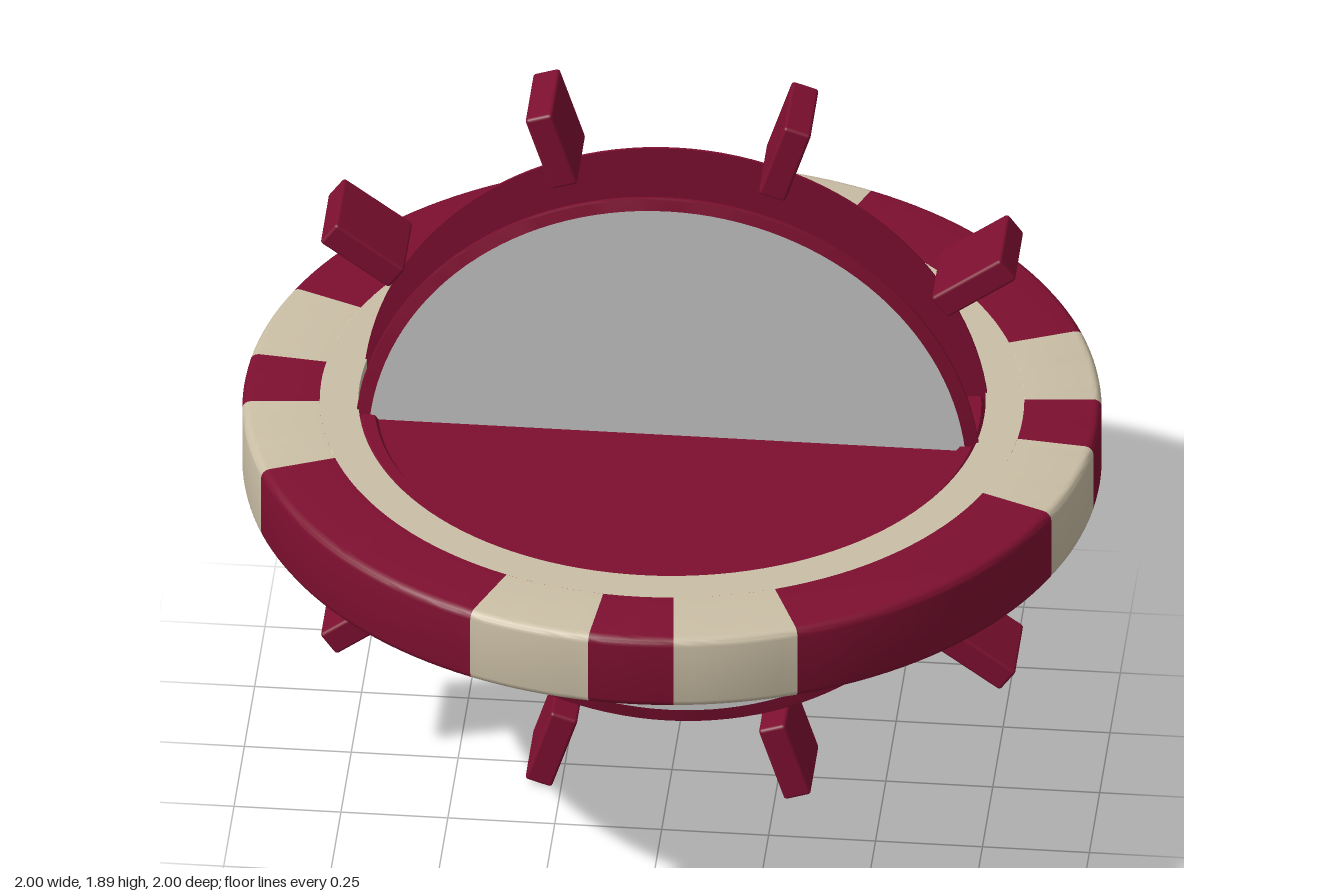
import * as THREE from 'three';
import { toCreasedNormals } from 'three/addons/utils/BufferGeometryUtils.js';
import { RoundedBoxGeometry } from 'three/addons/geometries/RoundedBoxGeometry.js';

const CENTER_Y = 0.945;   // height of the shared centre
const HALF = 0.095;       // half thickness of the flat ring
const INNER = 0.73, BAND = 0.82, OUTER = 1;

const material = (name, color) => {
  const m = new THREE.MeshStandardMaterial({ color });
  m.name = name;
  return m;
};

export function createModel() {
  const maroon = material('maroon', 0x7d0f30);
  const beige = material('beige', 0xcabea5);
  const gray = material('gray', 0xc4c4c4);

  const model = new THREE.Group();
  model.name = 'crossedDiscs';
  const body = new THREE.Group();
  body.name = 'body';
  body.position.y = CENTER_Y;
  model.add(body);

  const add = (name, geometry, mat, parent = body) => {
    const mesh = new THREE.Mesh(geometry, mat);
    mesh.name = name;
    parent.add(mesh);
    return mesh;
  };
  // Revolve a [radius, height] profile through part of a turn
  const revolve = (profile, start = 0, length = Math.PI * 2, segments = 128) =>
    toCreasedNormals(new THREE.LatheGeometry(
      profile.map(([r, y]) => new THREE.Vector2(r, y)), segments, start, length), 0.5);

  // Flat ring: plain inner band, then alternating outer sectors with rounded edges
  const ring = new THREE.Group();
  ring.name = 'flatRing';
  body.add(ring);
  add('innerBandTop', revolve([[BAND, HALF], [INNER, HALF], [INNER, 0]]), beige, ring);
  add('innerBandBottom', revolve([[INNER, 0], [INNER, -HALF], [BAND, -HALF]]), beige, ring);

  const bevel = 0.02;
  const rim = [[BAND, -HALF]];
  for (const side of [-1, 1]) {
    for (let i = 0; i <= 4; i++) {
      const a = (side < 0 ? i - 4 : i) * Math.PI / 8;
      rim.push([OUTER - bevel + bevel * Math.cos(a), side * (HALF - bevel) + bevel * Math.sin(a)]);
    }
  }
  rim.push([BAND, HALF]);

  const spot = THREE.MathUtils.degToRad(5.74);
  const edge = Math.PI / 8;
  for (let i = 0; i < 4; i++) {
    const a = i * Math.PI / 2;
    add('smallSpot', revolve(rim, a - spot, 2 * spot, 6), maroon, ring);
    add('paleSector', revolve(rim, a + spot, edge - spot, 8), beige, ring);
    add('paleSector', revolve(rim, a - edge, edge - spot, 8), beige, ring);
    add('wideSector', revolve(rim, a + edge, Math.PI / 4, 20), maroon, ring);
  }

  // Recessed centre plate with a low raised lip
  const lip = [[0, 0.072], [0.685, 0.072], [0.693, 0.084], [0.72, 0.084], [INNER, 0.07]];
  add('centrePlate', revolve([
    ...lip.map(([r, y]) => [r, -y]),
    ...lip.slice().reverse(),
  ]), maroon);

  // Two thin upright discs, each with a gray face on its outer side
  for (const side of [1, -1]) {
    const disc = new THREE.Group();
    disc.name = side > 0 ? 'frontDisc' : 'backDisc';
    disc.rotation.x = side * Math.PI / 2;
    disc.position.z = side * 0.105;
    body.add(disc);
    add('discPlate', revolve([[0, -0.004], [0.733, -0.004], [0.733, 0.002], [0.728, 0.004], [0, 0.004]]), maroon, disc);
    const face = add('discFace', new THREE.CircleGeometry(0.7, 128), gray, disc);
    face.rotation.x = -Math.PI / 2;
    face.position.y = 0.006;
  }

  // Ten blocks radiating around the upright discs
  const block = new RoundedBoxGeometry(0.2, 0.066, 0.2, 2, 0.008);
  for (let i = 0; i < 10; i++) {
    const a = i * Math.PI / 5;
    const mesh = add('radialBlock', block, maroon);
    mesh.position.set(0.883 * Math.cos(a), 0.883 * Math.sin(a), 0);
    mesh.rotation.z = a;
  }

  return model;
}
